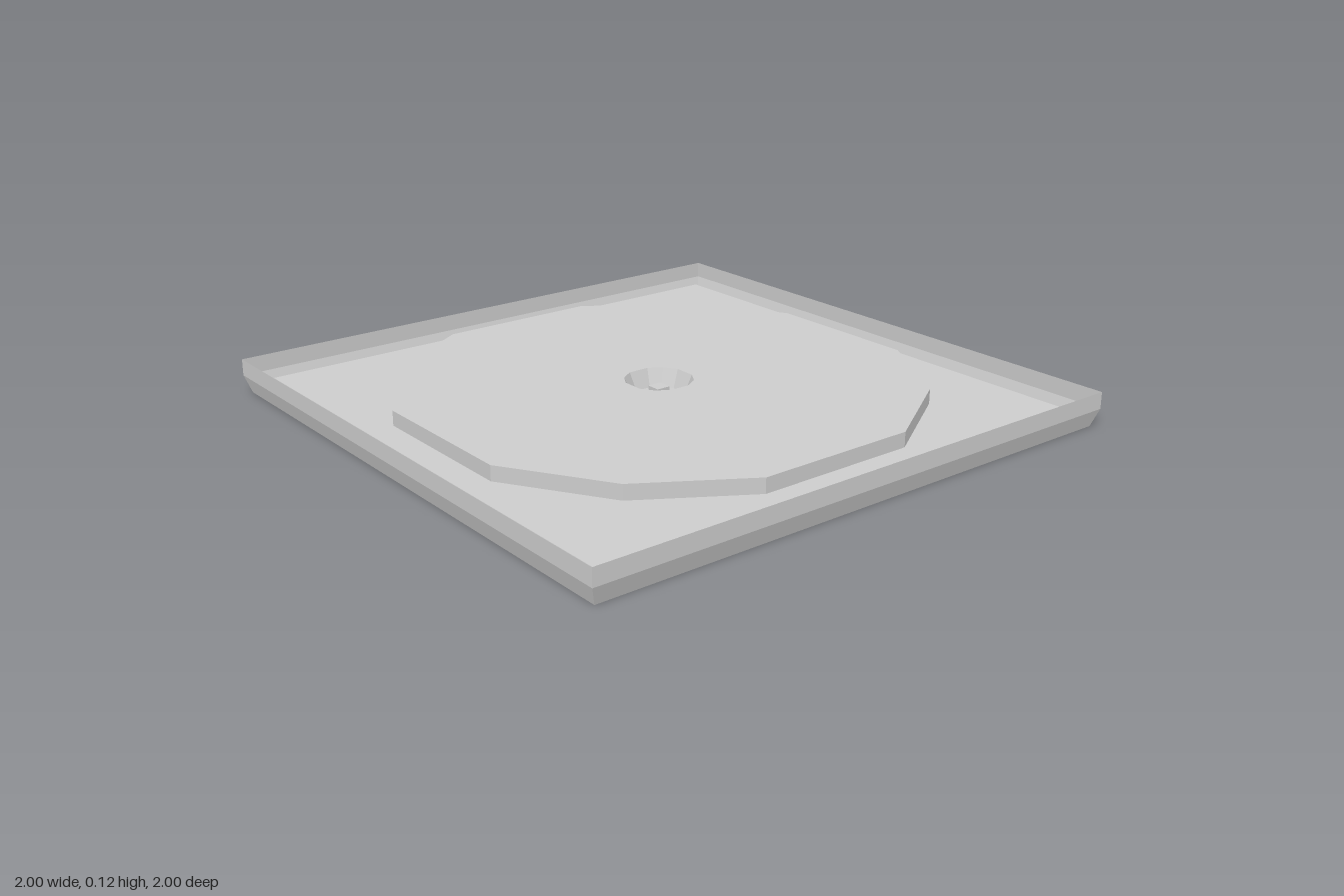
import * as THREE from 'three';

const square = (r) => [[r, r], [-r, r], [-r, -r], [r, -r]];

// Twelve-sided outline with flats facing the four sides
const dodecagon = (r) => {
  const points = [];
  for (let q = 0; q < 4; q++) {
    for (const degrees of [18.6, 45, 71.4]) {
      const a = THREE.MathUtils.degToRad(degrees + q * 90);
      points.push([r * Math.cos(a), r * Math.sin(a)]);
    }
  }
  return points;
};

// Thin wall joining outlines of equal corner count, given as [radius, y]
function wall(outline, profile) {
  const positions = [];
  for (let s = 0; s < profile.length - 1; s++) {
    const [r0, y0] = profile[s], [r1, y1] = profile[s + 1];
    const a = outline(r0), b = outline(r1);
    for (let i = 0; i < a.length; i++) {
      const j = (i + 1) % a.length;
      const p = [a[i][0], y0, a[i][1]], q = [a[j][0], y0, a[j][1]];
      const t = [b[i][0], y1, b[i][1]], u = [b[j][0], y1, b[j][1]];
      positions.push(...p, ...t, ...q, ...q, ...t, ...u);
    }
  }
  const geometry = new THREE.BufferGeometry();
  geometry.setAttribute('position', new THREE.Float32BufferAttribute(positions, 3));
  geometry.computeVertexNormals();
  return geometry;
}

// Flat horizontal sheet with an optional opening
function sheet(outer, inner, y) {
  const toVectors = (points) => points.map(([x, z]) => new THREE.Vector2(x, -z));
  const shape = new THREE.Shape(toVectors(outer));
  if (inner) shape.holes.push(new THREE.Path(toVectors(inner)));
  return new THREE.ShapeGeometry(shape).rotateX(-Math.PI / 2).translate(0, y, 0);
}

export function createModel() {
  const group = new THREE.Group();
  const grey = new THREE.MeshStandardMaterial({ color: 0xcccccc, side: THREE.DoubleSide, flatShading: true });
  grey.name = 'light grey';
  const add = (name, geometry) => {
    const mesh = new THREE.Mesh(geometry, grey);
    mesh.name = name;
    group.add(mesh);
  };

  const plateY = 0.055, discY = 0.105, pitY = 0.045, studY = 0.08;
  const discR = 0.876, pitTopR = 0.115, pitFloorR = 0.09, studR = 0.025;

  // Upturned rim, foot channel and step up to the plate
  add('rim', wall(square, [[1, 0.117], [1, 0.06], [0.98, 0], [0.94, 0], [0.925, plateY]]));
  add('plate', sheet(square(0.925), dodecagon(discR), plateY));

  // Raised twelve-sided platform
  add('platformSide', wall(dodecagon, [[discR, plateY], [discR, discY]]));
  add('platformTop', sheet(dodecagon(discR), dodecagon(pitTopR), discY));

  // Tapered central pit with a small square stud
  add('pitSide', wall(dodecagon, [[pitTopR, discY], [pitFloorR, pitY]]));
  add('pitFloor', sheet(dodecagon(pitFloorR), square(studR), pitY));
  add('studSide', wall(square, [[studR, pitY], [studR, studY]]));
  add('studTop', sheet(square(studR), null, studY));

  return group;
}
